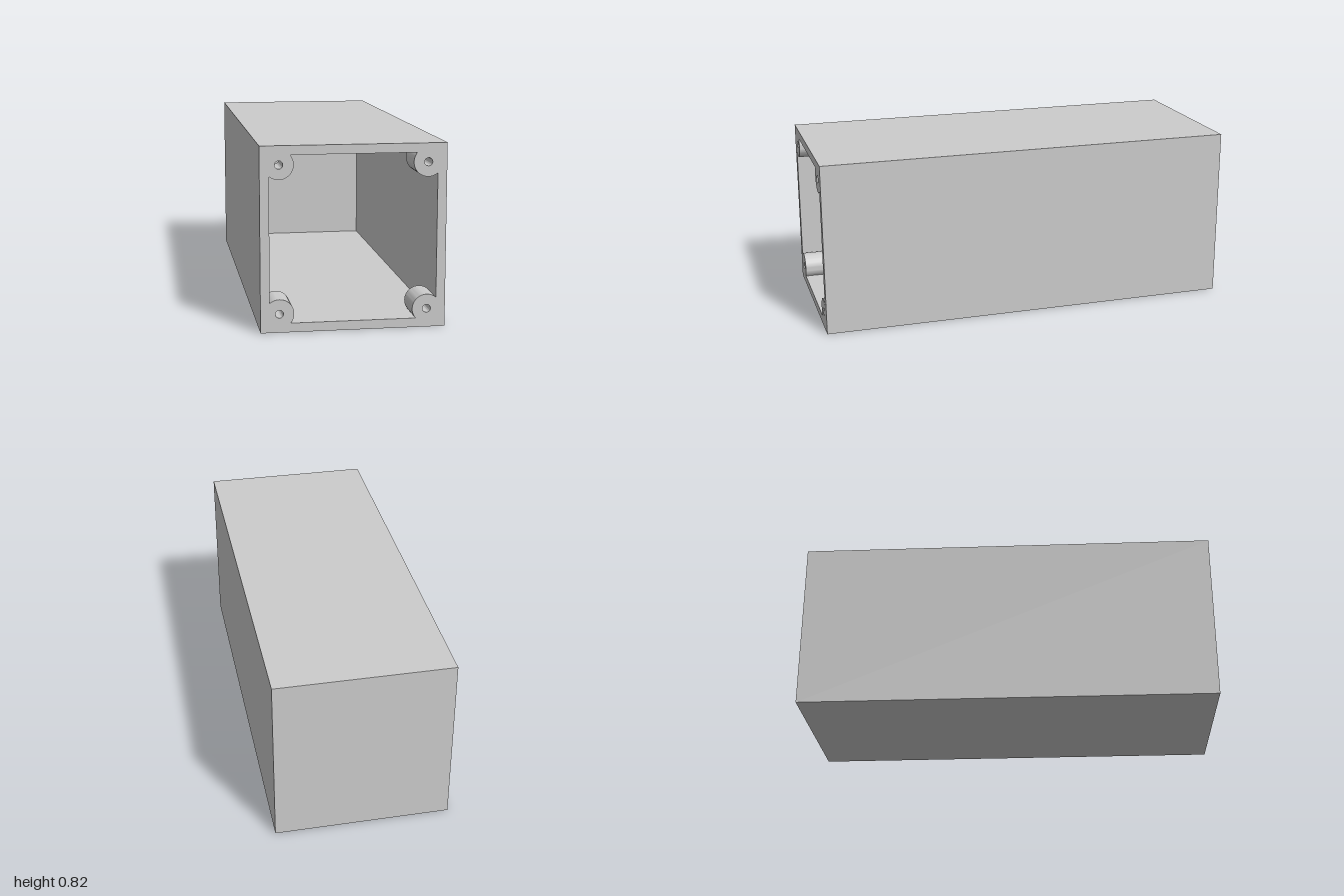
import * as THREE from 'three';
import { toCreasedNormals } from 'three/addons/utils/BufferGeometryUtils.js';

const LENGTH = 2, HALF = 0.411, WALL = 0.041;
const INNER = HALF - WALL;
const BOSS_AT = 0.328, BOSS_R = 0.065, BORE_R = 0.018, BOSS_LEN = 0.16;
const SEGMENTS = 48;

// Box without its front (+z) side; inward turns the faces to the inside
function openBox(size, depth, inward) {
  const geo = new THREE.BoxGeometry(size, size, depth);
  let index = Array.from(geo.index.array);
  index.splice(24, 6);
  if (inward) index = index.reverse();
  geo.clearGroups();
  geo.setIndex(index);
  geo.computeVertexNormals();
  return geo;
}

// Front rim: square with bored corners and an opening notched around the bosses
function rimGeometry() {
  const shape = new THREE.Shape();
  shape.moveTo(-HALF, -HALF).lineTo(HALF, -HALF).lineTo(HALF, HALF).lineTo(-HALF, HALF).closePath();

  const gap = INNER - BOSS_AT;
  const leg = Math.sqrt(BOSS_R ** 2 - gap ** 2);
  const start = Math.atan2(gap, -leg);
  const end = Math.atan2(-leg, gap) + Math.PI * 2;
  const opening = new THREE.Path();
  const corners = [[1, 1], [1, -1], [-1, -1], [-1, 1]];
  corners.forEach(([sx, sy], i) => {
    const turn = i * Math.PI / 2;
    opening.absarc(sx * BOSS_AT, sy * BOSS_AT, BOSS_R, start - turn, end - turn, false);
    const bore = new THREE.Path();
    bore.absarc(sx * BOSS_AT, sy * BOSS_AT, BORE_R, 0, Math.PI * 2, false);
    shape.holes.push(bore);
  });
  opening.closePath();
  shape.holes.push(opening);
  return new THREE.ShapeGeometry(shape, SEGMENTS / 2);
}

// Hollow screw boss running back from the rim
function bossGeometry() {
  const profile = [[BORE_R, 0], [BORE_R, -BOSS_LEN], [BOSS_R, -BOSS_LEN], [BOSS_R, 0]]
    .map(([x, y]) => new THREE.Vector2(x, y));
  const geo = new THREE.LatheGeometry(profile, SEGMENTS);
  geo.rotateX(Math.PI / 2);
  return toCreasedNormals(geo, Math.PI / 6);
}

export function createModel() {
  const group = new THREE.Group();
  group.name = 'enclosure';
  const material = new THREE.MeshStandardMaterial({ color: 0xcccccc });

  const add = (name, geometry, x, y, z) => {
    const mesh = new THREE.Mesh(geometry, material);
    mesh.name = name;
    mesh.position.set(x, y, z);
    group.add(mesh);
  };

  add('outerShell', openBox(HALF * 2, LENGTH, false), 0, HALF, 0);
  add('innerCavity', openBox(INNER * 2, LENGTH - WALL, true), 0, HALF, WALL / 2);
  add('frontRim', rimGeometry(), 0, HALF, LENGTH / 2);

  const boss = bossGeometry();
  for (const [sx, side] of [[1, 'Left'], [-1, 'Right']]) {
    for (const [sy, level] of [[1, 'upper'], [-1, 'lower']]) {
      add(`${level}${side}ScrewBoss`, boss, sx * BOSS_AT, HALF + sy * BOSS_AT, LENGTH / 2);
    }
  }
  return group;
}
